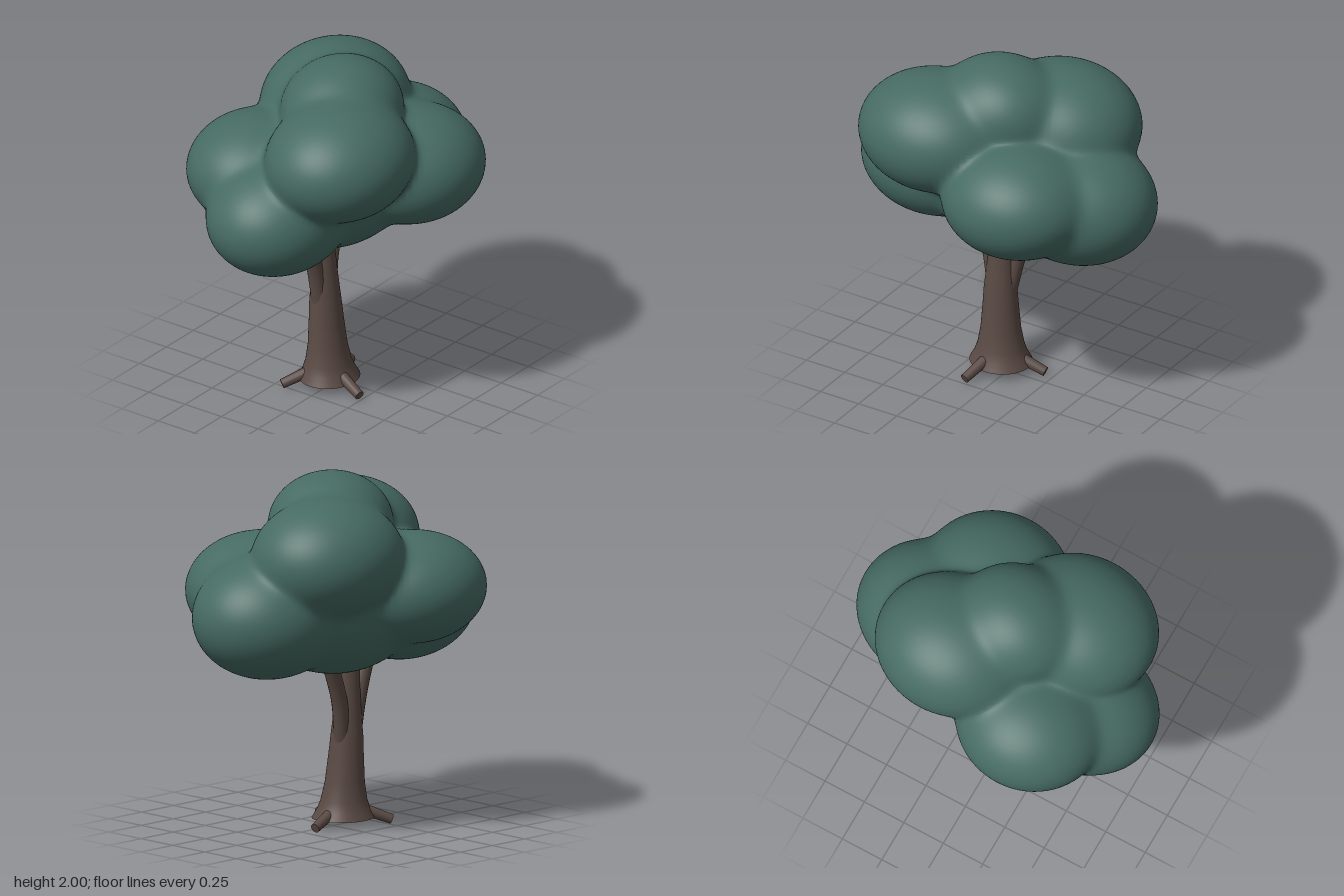
import * as THREE from 'three';

// Crown lobes: centre x, y, z, then radii x, y, z
const LOBES = {
  frontLeftUpperLobe: [-0.31, 1.57, 0.24, 0.45, 0.33, 0.4],
  topLobe: [-0.02, 1.71, 0.04, 0.36, 0.29, 0.33],
  backUpperLobe: [0.24, 1.58, -0.2, 0.45, 0.34, 0.4],
  frontLowerLobe: [0.26, 1.34, 0.31, 0.43, 0.32, 0.4],
  sideLobe: [0.48, 1.26, 0.02, 0.45, 0.35, 0.4],
  oppositeSideLobe: [-0.49, 1.22, -0.05, 0.44, 0.33, 0.38],
  backLowerLobe: [-0.31, 1.36, -0.32, 0.42, 0.31, 0.39],
  coreLobe: [0, 1.31, -0.03, 0.54, 0.43, 0.44],
};
const BLEND = 0.022;

// Approximate distance to one ellipsoid
function lobeDistance([cx, cy, cz, rx, ry, rz], x, y, z) {
  const dx = (x - cx) / rx, dy = (y - cy) / ry, dz = (z - cz) / rz;
  const k0 = Math.hypot(dx, dy, dz);
  const k1 = Math.hypot(dx / rx, dy / ry, dz / rz);
  return k1 < 1e-6 ? -Math.min(rx, ry, rz) : k0 * (k0 - 1) / k1;
}

// Smooth union of all lobes
const lobeList = Object.values(LOBES);
function crownDistance(x, y, z) {
  let sum = 0;
  for (const lobe of lobeList) sum += Math.exp(-lobeDistance(lobe, x, y, z) / BLEND);
  return -BLEND * Math.log(sum);
}

function crownNormal(p, target) {
  const e = 0.002;
  return target.set(
    crownDistance(p.x + e, p.y, p.z) - crownDistance(p.x - e, p.y, p.z),
    crownDistance(p.x, p.y + e, p.z) - crownDistance(p.x, p.y - e, p.z),
    crownDistance(p.x, p.y, p.z + e) - crownDistance(p.x, p.y, p.z - e),
  ).normalize();
}

// An ellipsoid whose seams are filled out to the blended crown surface
function lobeGeometry([cx, cy, cz, rx, ry, rz]) {
  const geometry = new THREE.SphereGeometry(1, 72, 48);
  geometry.scale(rx, ry, rz).translate(cx, cy, cz);
  const pos = geometry.attributes.position, nor = geometry.attributes.normal;
  const p = new THREE.Vector3(), n = new THREE.Vector3();
  for (let i = 0; i < pos.count; i++) {
    p.fromBufferAttribute(pos, i);
    if (crownDistance(p.x, p.y, p.z) > -0.05) {
      for (let step = 0; step < 4; step++) {
        crownNormal(p, n);
        p.addScaledVector(n, -crownDistance(p.x, p.y, p.z));
      }
    }
    crownNormal(p, n);
    pos.setXYZ(i, p.x, p.y, p.z);
    nor.setXYZ(i, n.x, n.y, n.z);
  }
  return geometry;
}

export function createModel() {
  const model = new THREE.Group();
  model.name = 'tree';
  const leaf = new THREE.MeshStandardMaterial({ name: 'leafGreen', color: 0x466b63 });
  const bark = new THREE.MeshStandardMaterial({ name: 'barkBrown', color: 0x5a4a44 });

  const add = (parent, name, geometry, material) => {
    const mesh = new THREE.Mesh(geometry, material);
    mesh.name = name;
    parent.add(mesh);
    return mesh;
  };
  const tube = (points, radius) => new THREE.TubeGeometry(
    new THREE.CatmullRomCurve3(points.map((p) => new THREE.Vector3(...p))), 20, radius, 16);

  // Crown
  const crown = new THREE.Group();
  crown.name = 'crown';
  for (const [name, lobe] of Object.entries(LOBES)) add(crown, name, lobeGeometry(lobe), leaf);

  // Trunk with flared foot, leaning slightly backwards
  const wood = new THREE.Group();
  wood.name = 'wood';
  const profile = [[0.18, 0.05], [0.152, 0.1], [0.134, 0.15], [0.115, 0.25], [0.102, 0.4],
    [0.095, 0.5], [0.08, 0.65], [0.068, 0.8], [0.06, 1.05]].map((p) => new THREE.Vector2(...p));
  const trunk = new THREE.LatheGeometry(profile, 40);
  trunk.scale(1, 1, 0.93);
  const pos = trunk.attributes.position;
  for (let i = 0; i < pos.count; i++) {
    const y = pos.getY(i);
    pos.setX(i, pos.getX(i) - 0.055 - 0.015 * Math.min(1, y / 0.5));
    pos.setZ(i, pos.getZ(i) - 0.02 - 0.035 * y);
  }
  add(wood, 'trunk', trunk, bark);
  const foot = add(wood, 'trunkFoot', new THREE.CircleGeometry(0.18, 40), bark);
  foot.rotation.x = Math.PI / 2;
  foot.scale.y = 0.93;
  foot.position.set(-0.057, 0.05, -0.022);

  // Side branches reaching into the crown
  add(wood, 'leftBranch', tube([[-0.03, 0.42, -0.04], [-0.01, 0.55, -0.055],
    [0.025, 0.72, -0.075], [0.095, 0.9, -0.09], [0.17, 1.05, -0.1]], 0.045), bark);
  add(wood, 'rightBranch', tube([[-0.11, 0.42, -0.04], [-0.12, 0.55, -0.045],
    [-0.15, 0.73, -0.05], [-0.2, 0.9, -0.05], [-0.26, 1.05, -0.05]], 0.045), bark);

  // Three stubby roots around the foot
  const up = new THREE.Vector3(0, 1, 0);
  [105, -10, 219].forEach((degrees, i) => {
    const a = THREE.MathUtils.degToRad(degrees);
    const at = (r, y) => new THREE.Vector3(-0.06 + Math.cos(a) * r, y, -0.02 + Math.sin(a) * r);
    const inner = at(0.06, 0.11), outer = at(0.27, 0.03);
    const direction = outer.clone().sub(inner);
    const root = add(wood, 'root' + (i + 1),
      new THREE.CylinderGeometry(0.027, 0.035, direction.length(), 16), bark);
    root.position.copy(inner).add(outer).multiplyScalar(0.5);
    root.quaternion.setFromUnitVectors(up, direction.normalize());
  });

  model.add(crown, wood);
  return model;
}
